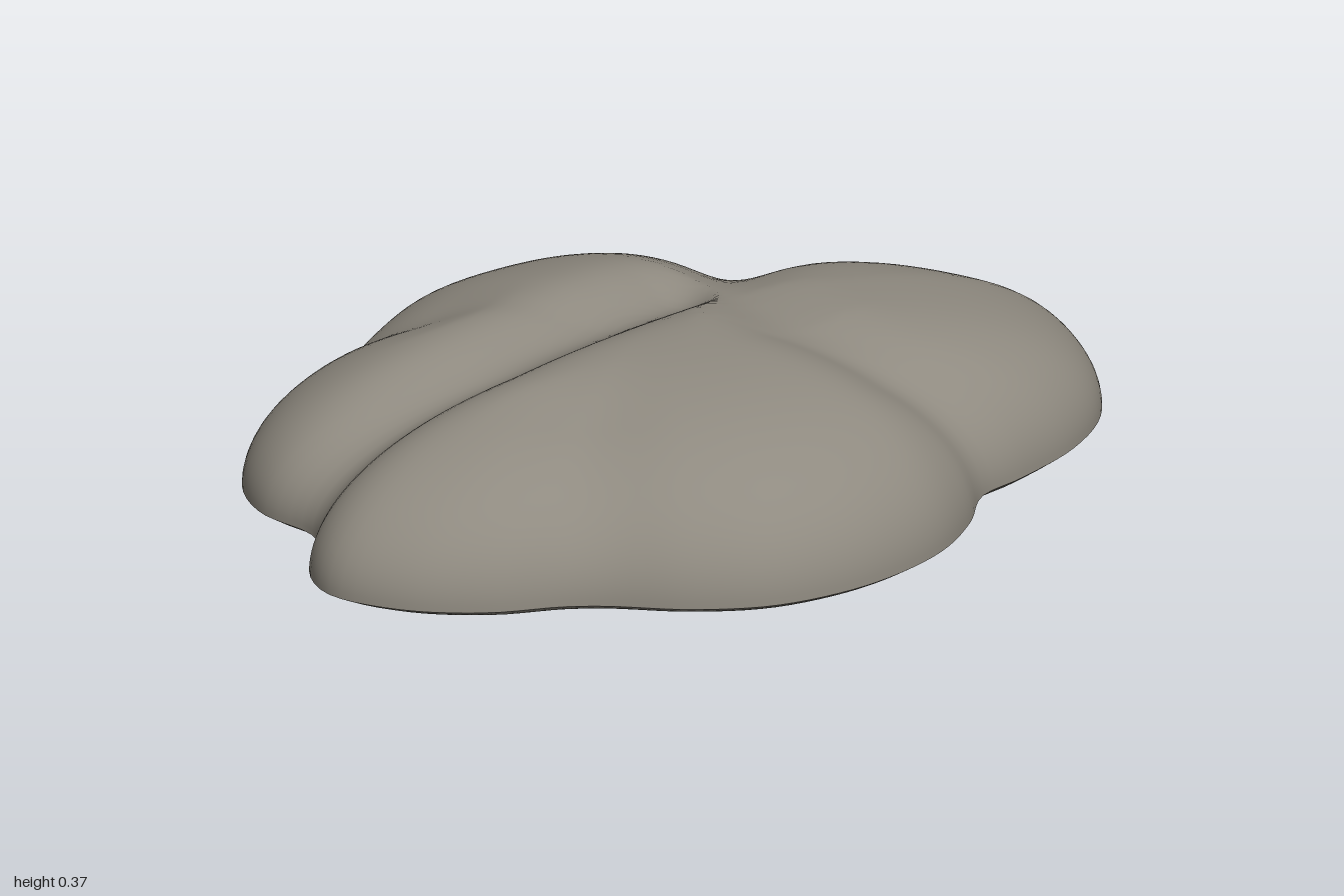
import * as THREE from 'three';

// Plan outline as x, z pairs, running from the back round by +x to the front
const OUTLINE = [
  0, -.81, .17, -.79, .32, -.71, .44, -.59, .53, -.46, .61, -.40, .76, -.33, .9, -.2, .98, -.05,
  1, .03, .95, .22, .86, .36, .72, .46, .55, .52, .43, .55, .33, .65, .2, .74, .05, .79,
  -.1, .805, -.27, .78, -.42, .7, -.55, .59, -.63, .54, -.78, .48, -.92, .37, -1, .22, -.97, .1,
  -.87, -.01, -.84, -.08, -.86, -.23, -.82, -.36, -.72, -.48, -.58, -.57, -.42, -.63, -.3, -.71, -.15, -.79,
];

// Soft creases between the lobes: polyline, depth, half width
const CREASES = [
  { path: [[-.9, -.07], [-.4, -.07], [.12, -.14]], depth: .075, width: .12 },
  { path: [[.56, -.46], [.36, -.28], [.22, -.08], [.22, .18], [.3, .4], [.43, .56]], depth: .045, width: .12 },
  { path: [[-.62, .55], [-.45, .32]], depth: .02, width: .13 },
  { path: [[-.42, -.65], [-.32, -.45]], depth: .02, width: .13 },
];

const AROUND = 160;
const RINGS = 40;

function segmentDistance(x, z, [ax, az], [bx, bz]) {
  const dx = bx - ax, dz = bz - az;
  const t = THREE.MathUtils.clamp(((x - ax) * dx + (z - az) * dz) / (dx * dx + dz * dz), 0, 1);
  return Math.hypot(x - ax - t * dx, z - az - t * dz);
}

function creaseDepth(x, z) {
  let deepest = 0;
  for (const { path, depth, width } of CREASES) {
    let d = Infinity;
    for (let i = 1; i < path.length; i++) d = Math.min(d, segmentDistance(x, z, path[i - 1], path[i]));
    deepest = Math.max(deepest, depth * Math.exp(-((d / width) ** 2)));
  }
  return deepest;
}

// The underside rises a little towards the front and the two sides
const baseHeight = (x, z) => .009 + .009 * z + .012 * x * x;

function topHeight(x, z, s) {
  const power = 2.4 + .5 * z / (Math.hypot(x, z) || 1);
  const dome = Math.sqrt(Math.max(0, 1 - s ** power));
  const crown = .36 - .025 * THREE.MathUtils.smoothstep(x, .15, .5) - creaseDepth(x, z);
  return baseHeight(x, z) + .015 + (crown - .01) * dome;
}

// Closed rings around one centre vertex, facing up or down
function ringSurface(rim, scales, heightAt, up) {
  const position = [0, heightAt(0, 0, 0), 0];
  const index = [];
  const tri = (a, b, c) => (up ? index.push(a, b, c) : index.push(a, c, b));
  scales.forEach((s, k) => {
    rim.forEach((p, j) => {
      const x = p.x * s, z = p.z * s;
      position.push(x, heightAt(x, z, s), z);
      const next = (j + 1) % AROUND, outer = 1 + k * AROUND, inner = outer - AROUND;
      if (k === 0) {
        tri(0, outer + next, outer + j);
      } else {
        tri(inner + j, inner + next, outer + j);
        tri(inner + next, outer + next, outer + j);
      }
    });
  });
  const geometry = new THREE.BufferGeometry();
  geometry.setAttribute('position', new THREE.Float32BufferAttribute(position, 3));
  geometry.setIndex(index);
  geometry.computeVertexNormals();
  return geometry;
}

export function createModel() {
  const group = new THREE.Group();
  group.name = 'lobedStone';
  const stone = new THREE.MeshStandardMaterial({ color: 0x8f8a80 });
  stone.name = 'warm grey stone';

  const points = [];
  for (let i = 0; i < OUTLINE.length; i += 2) points.push(new THREE.Vector3(OUTLINE[i], 0, OUTLINE[i + 1]));
  const rim = new THREE.CatmullRomCurve3(points, true).getSpacedPoints(AROUND).slice(0, AROUND);

  // Domed top, with rings packed towards the steep edge
  const scales = Array.from({ length: RINGS }, (_, k) => Math.sin((k + 1) / RINGS * Math.PI / 2));
  const top = new THREE.Mesh(ringSurface(rim, scales, topHeight, true), stone);
  top.name = 'domedTop';

  // Nearly flat underside with a small rounded lip
  const lip = (x, z, s) => baseHeight(x, z) + .015 * THREE.MathUtils.smoothstep(s, .97, 1);
  const under = new THREE.Mesh(ringSurface(rim, [.25, .5, .75, .9, .97, .985, 1], lip, false), stone);
  under.name = 'underside';

  group.add(top, under);
  return group;
}
